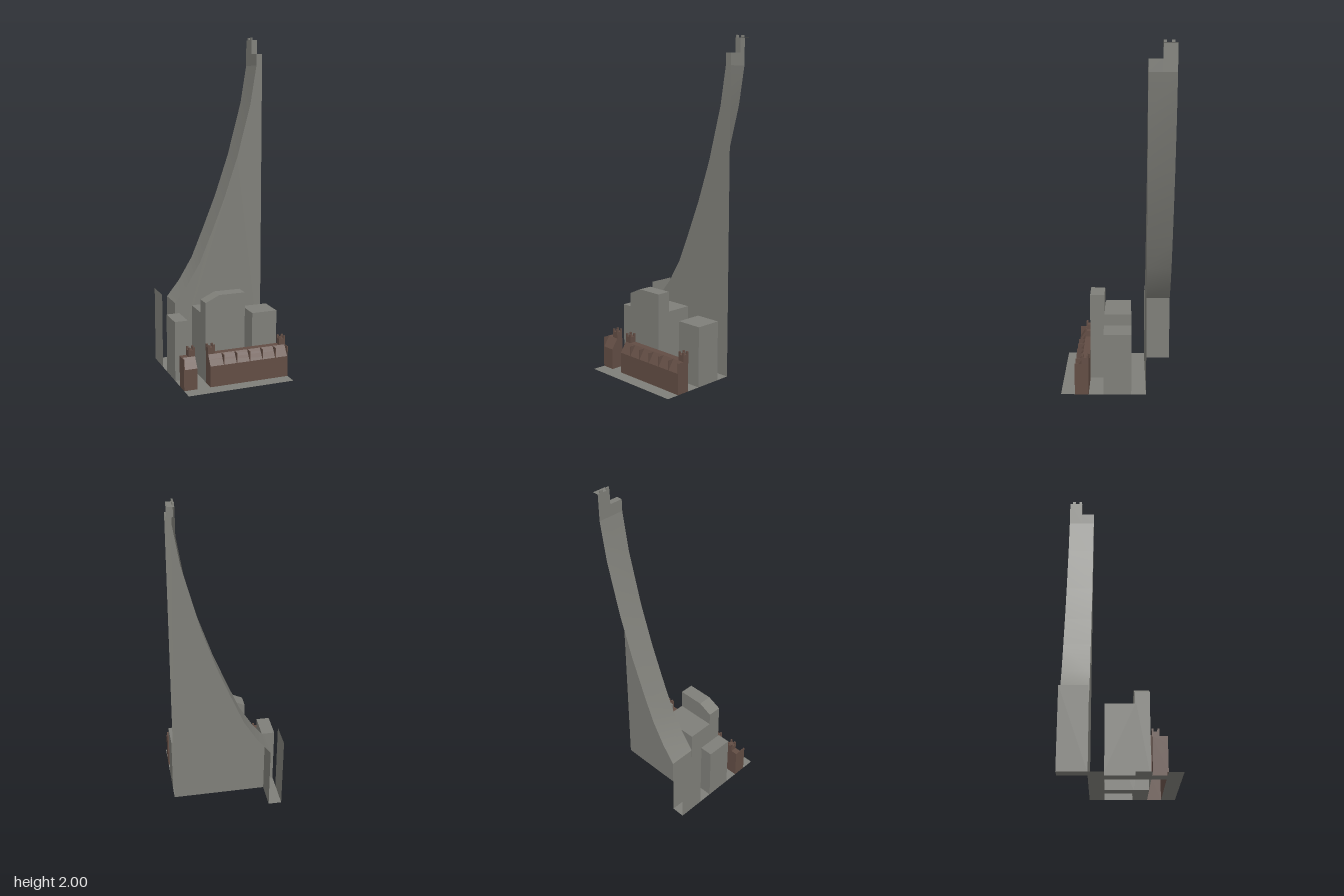
import * as THREE from 'three';

export function createModel() {
  const model = new THREE.Group();
  const mat = (name, color) =>
    new THREE.MeshStandardMaterial({ name, color, side: THREE.DoubleSide });
  const stone = mat('grey stone', 0x7f7f79);
  const brick = mat('brown brick', 0x624d44);

  const add = (parent, name, geometry, material) => {
    const mesh = new THREE.Mesh(geometry, material);
    mesh.name = name;
    parent.add(mesh);
    return mesh;
  };
  const group = (name) => {
    const g = new THREE.Group();
    g.name = name;
    model.add(g);
    return g;
  };

  // box without its underside; skip lists further face numbers to leave open
  const shell = (x0, x1, y0, y1, z0, z1, skip = []) => {
    const g = new THREE.BoxGeometry(x1 - x0, y1 - y0, z1 - z0);
    const index = Array.from(g.index.array);
    g.setIndex(index.filter((_, i) => {
      const face = Math.floor(i / 6);
      return face !== 3 && !skip.includes(face);
    }));
    g.clearGroups();
    return g.translate((x0 + x1) / 2, (y0 + y1) / 2, (z0 + z1) / 2);
  };

  // flat upright outline at depth z
  const panel = (points, z) =>
    new THREE.ShapeGeometry(new THREE.Shape(points.map((p) => new THREE.Vector2(...p))))
      .translate(0, 0, z);

  // surface that follows an x-y line from z0 to z1
  const strip = (points, z0, z1, smooth = false) => {
    const pos = [], index = [];
    points.forEach(([x, y], i) => {
      pos.push(x, y, z1, x, y, z0);
      if (i) {
        const a = 2 * i - 2;
        index.push(a, a + 2, a + 3, a, a + 3, a + 1);
      }
    });
    let g = new THREE.BufferGeometry();
    g.setAttribute('position', new THREE.Float32BufferAttribute(pos, 3));
    g.setIndex(index);
    if (!smooth) g = g.toNonIndexed();
    g.computeVertexNormals();
    return g;
  };

  // street level, open below the buildings: x0, x1, z0, z1
  const streets = group('streets');
  [
    [-0.325, 0.325, 0.245, 0.325], [-0.245, -0.165, -0.08, 0.245],
    [-0.325, 0.325, -0.165, -0.08], [-0.325, -0.245, -0.325, -0.165],
    [0.08, 0.165, -0.08, 0.08], [0.08, 0.325, 0.08, 0.165],
    [-0.325, -0.245, 0.08, 0.165],
  ].forEach(([x0, x1, z0, z1]) => add(streets, 'pavement',
    new THREE.PlaneGeometry(x1 - x0, z1 - z0).rotateX(-Math.PI / 2)
      .translate((x0 + x1) / 2, 0, (z0 + z1) / 2), stone));

  // sweeping tower, open at the rear and on its left
  const tower = group('tower');
  const curve = [[-0.245, 0.4], [-0.165, 0.5], [-0.08, 0.64], [0, 0.83], [0.08, 1.03],
    [0.165, 1.28], [0.25, 1.6], [0.288, 1.83]];
  add(tower, 'towerFront', panel([[-0.245, 0], [0.325, 0], [0.325, 1.9], [0.288, 1.9],
    ...[...curve].reverse()], -0.165), stone);
  add(tower, 'towerSlope', strip(curve, -0.325, -0.165, true), stone);
  add(tower, 'towerFoot', strip([[-0.245, 0], [-0.245, 0.4]], -0.325, -0.165), stone);
  add(tower, 'towerShoulder',
    strip([[0.288, 1.83], [0.288, 1.9], [0.325, 1.9]], -0.245, -0.165), stone);
  add(tower, 'towerCrown',
    strip([[0.288, 1.83], [0.288, 1.985], [0.325, 1.985]], -0.325, -0.245), stone);
  add(tower, 'crownFront',
    panel([[0.288, 1.9], [0.325, 1.9], [0.325, 1.985], [0.288, 1.985]], -0.245), stone);
  [[-0.309, -0.289], [-0.264, -0.246]].forEach(([z0, z1]) =>
    add(tower, 'crownTooth', shell(0.288, 0.297, 1.985, 2, z0, z1), stone));

  // single wall of the next block
  add(model, 'borderWall', strip([[-0.325, 0], [-0.325, 0.46]], -0.325, -0.165), stone);

  // blocks in the middle row
  add(model, 'rightBlock', shell(-0.325, -0.245, 0, 0.36, -0.08, 0.08), stone);
  add(model, 'leftBlock', shell(0.165, 0.325, 0, 0.36, -0.08, 0.08), stone);
  const hall = group('hall');
  add(hall, 'hallRear', shell(-0.165, 0.08, 0, 0.4, -0.08, 0.08, [4]), stone);
  const hallTop = [[-0.165, 0.48], [-0.08, 0.52], [0.08, 0.52]];
  const outline = (y) => [[-0.165, y], [0.08, y], ...[...hallTop].reverse()];
  add(hall, 'hallFront', panel(outline(0), 0.165), stone);
  add(hall, 'hallGable', panel(outline(0.4), 0.08), stone);
  add(hall, 'hallRoof', strip([[-0.165, 0], ...hallTop, [0.08, 0]], 0.08, 0.165), stone);

  // brick rampart: profile runs along x, with ribs and toothed turrets
  const profile = [[0.165, 0], [0.165, 0.185], [0.205, 0.185], [0.222, 0.16],
    [0.245, 0.125], [0.245, 0]];
  const turn = (g) => g.rotateY(-Math.PI / 2);
  const rampart = (x0, x1, ribs, turrets) => {
    const g = group('rampart');
    add(g, 'rampartWall', turn(strip(profile, -x1, -x0)), brick);
    [x0, x1].forEach((x) => add(g, 'rampartEnd', turn(panel(profile, -x)), brick));
    ribs.forEach((x) => add(g, 'rib',
      shell(x - 0.002, x + 0.002, 0.1, 0.185, 0.205, 0.245), brick));
    turrets.forEach(([a, b]) => {
      add(g, 'turret', shell(a, b, 0.18, 0.222, 0.165, 0.205), brick);
      for (const x of [a, b - 0.011])
        for (const z of [0.165, 0.195])
          add(g, 'turretTooth', shell(x, x + 0.011, 0.222, 0.238, z, z + 0.01), brick);
    });
  };
  rampart(-0.325, -0.245, [-0.323], [[-0.285, -0.245]]);
  rampart(-0.165, 0.325, [-0.081, 0, 0.081, 0.163, 0.245, 0.323],
    [[-0.165, -0.123], [0.287, 0.325]]);

  // profile is mirrored by the turn, so keep the ramparts where the walls face front
  return model;
}
